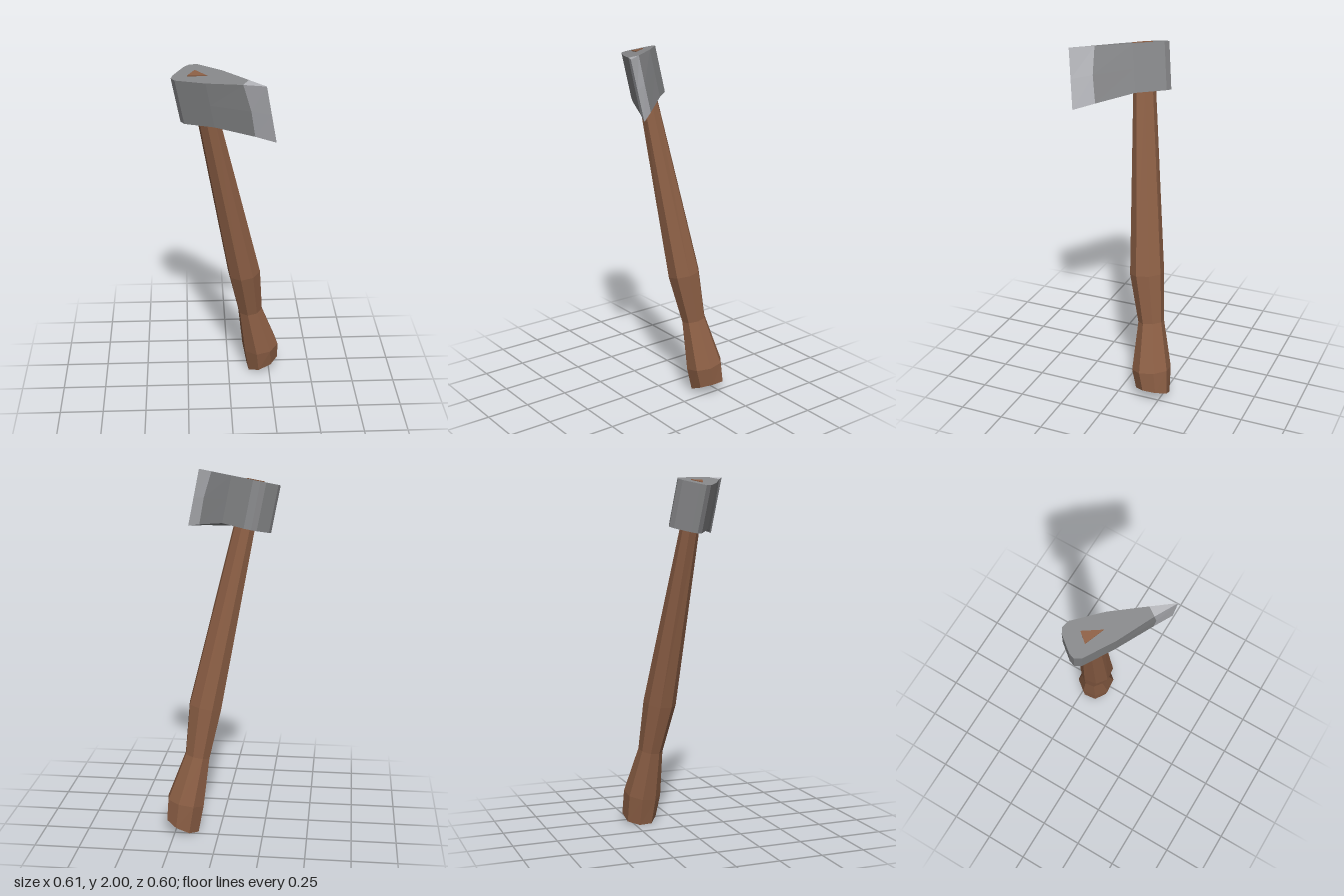
import * as THREE from 'three';

const material = (name, color) => {
  const m = new THREE.MeshStandardMaterial({ color, flatShading: true });
  m.name = name;
  return m;
};

// Leaning axis of the axe (y component kept at 1) and the blade direction
const LEAN = new THREE.Vector3(-0.183, 1, 0.131);
const AXIS = LEAN.clone().normalize();
const BLADE = new THREE.Vector3(0.78, 0.0615, 0.62).normalize();
const SIDE = new THREE.Vector3().crossVectors(AXIS, BLADE);

// Faceted solid through rings listed from bottom to top, each counter-clockwise from above
function loft(name, rings, mat) {
  const pos = [];
  const tri = (...pts) => pts.forEach((p) => pos.push(p.x, p.y, p.z));
  const n = rings[0].length;
  for (let i = 0; i < rings.length - 1; i++) {
    for (let j = 0; j < n; j++) {
      const k = (j + 1) % n;
      const lo = rings[i], hi = rings[i + 1];
      tri(lo[j], lo[k], hi[k]);
      tri(lo[j], hi[k], hi[j]);
    }
  }
  const bottom = rings[0], top = rings[rings.length - 1];
  for (let j = 1; j < n - 1; j++) {
    tri(top[0], top[j], top[j + 1]);
    tri(bottom[0], bottom[j + 1], bottom[j]);
  }
  const geo = new THREE.BufferGeometry();
  geo.setAttribute('position', new THREE.Float32BufferAttribute(pos, 3));
  geo.computeVertexNormals();
  const mesh = new THREE.Mesh(geo, mat);
  mesh.name = name;
  return mesh;
}

// Point on the sloping top plane of the head
const onTop = (x, z) =>
  new THREE.Vector3(x, 2 + 0.183 * (x - 0.175) - 0.131 * (z - 0.305), z);

// Head rings from an outline of [x, z, height, bevel]; bevel points bow toward the edge
function headRings(outline) {
  return [[1, 0.015], [0.5, 0.02], [0, 0]].map(([t, bow]) =>
    outline.map(([x, z, height, bevel]) =>
      onTop(x, z).addScaledVector(LEAN, -height * t).addScaledVector(BLADE, bevel ? bow : 0)));
}

export function createModel() {
  const wood = material('wood', 0x8c5f45);
  const steel = material('steel', 0x87888a);
  const edgeSteel = material('edge steel', 0xb4b5ba);
  const group = new THREE.Group();
  group.name = 'axe';

  // Handle: x, y, z of the centre, half width along and across the blade
  const stations = [
    [0.195, 0.17, -0.185, 0.113, 0.107],
    [0.13, 0.44, -0.155, 0.075, 0.07],
    [0.09, 0.72, -0.112, 0.098, 0.093],
    [-0.115, 1.72, -0.008, 0.066, 0.052],
    [-0.132, 1.82, 0.002, 0.06, 0.048],
  ];
  const ring = ([x, y, z, a, b]) => Array.from({ length: 8 }, (_, i) => {
    const t = ((i + 0.5) / 8) * Math.PI * 2;
    return new THREE.Vector3(x, y, z)
      .addScaledVector(BLADE, Math.cos(t) * a)
      .addScaledVector(SIDE, Math.sin(t) * b);
  });
  // Butt is cut on a slant
  const butt = ring([0.21, 0, -0.2, 0.097, 0.1]);
  butt.forEach((p) => { p.y = Math.max(0, 0.45 * (p.x - 0.13)); });
  group.add(loft('handle', [butt, ...stations.map(ring)], wood));

  // Head body: starts at the cheek corner so the caps fold where the beard begins
  group.add(loft('head', headRings([
    [-0.13, 0.145, 0.255],
    [0.06, 0.24, 0.295, true],
    [0.09, 0.195, 0.295, true],
    [-0.04, 0.03, 0.255],
    [-0.17, -0.1, 0.255],
    [-0.21, -0.112, 0.255],
    [-0.24, -0.097, 0.255],
    [-0.3, -0.02, 0.255],
    [-0.31, 0.012, 0.255],
    [-0.29, 0.045, 0.255],
  ]), steel));

  // Sharpened edge wedge
  group.add(loft('cuttingEdge', headRings([
    [0.06, 0.24, 0.295, true],
    [0.175, 0.305, 0.32],
    [0.09, 0.195, 0.295, true],
  ]), edgeSteel));

  // End of the handle showing in the top of the head
  const eye = [[-0.182, -0.028], [-0.224, 0.023], [-0.118, 0.066]];
  group.add(loft('handleWedge', [-0.003, 0.004].map((h) =>
    eye.map(([x, z]) => onTop(x, z).addScaledVector(AXIS, h))), wood));

  return group;
}
